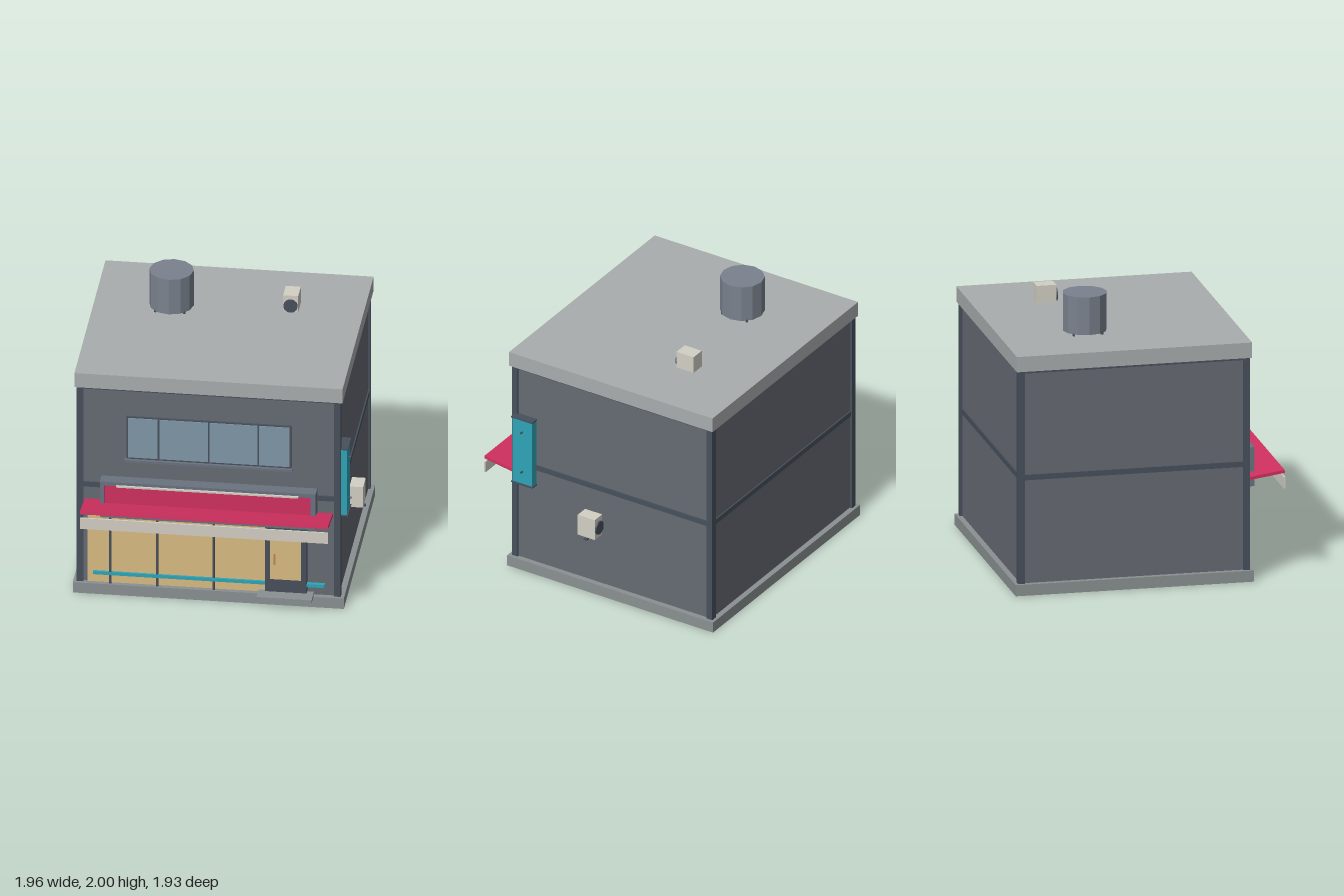
import * as THREE from 'three';

const COLORS = {
  wall: 0x666a73, trim: 0x47505c, base: 0x8a9092, roof: 0xa9adae, cream: 0xd3cfc5, red: 0xd0305f,
  glass: 0x8097a8, amber: 0xd9bb83, teal: 0x2fa5b8, tank: 0x7b828e, signFrame: 0x6a7380, brass: 0xb98a4a,
};
const mats = {};
for (const [key, color] of Object.entries(COLORS)) {
  mats[key] = new THREE.MeshStandardMaterial({ color, flatShading: true });
}

export function createModel() {
  const model = new THREE.Group();
  model.name = 'shopBuilding';

  // Box given by its extents on each axis
  const box = (name, mat, [x0, x1], [y0, y1], [z0, z1], parent = model) => {
    const mesh = new THREE.Mesh(new THREE.BoxGeometry(x1 - x0, y1 - y0, z1 - z0), mats[mat]);
    mesh.position.set((x0 + x1) / 2, (y0 + y1) / 2, (z0 + z1) / 2);
    mesh.name = name;
    parent.add(mesh);
    return mesh;
  };
  // Cylinder along the chosen axis
  const cyl = (name, mat, r, len, sides, pos, axis = 'y', parent = model) => {
    const geo = new THREE.CylinderGeometry(r, r, len, sides);
    if (axis === 'z') geo.rotateX(Math.PI / 2);
    if (axis === 'x') geo.rotateZ(Math.PI / 2);
    const mesh = new THREE.Mesh(geo, mats[mat]);
    mesh.position.set(...pos);
    mesh.name = name;
    parent.add(mesh);
    return mesh;
  };
  const group = (name) => {
    const g = new THREE.Group();
    g.name = name;
    model.add(g);
    return g;
  };

  // Main shell
  box('base', 'base', [-0.98, 0.91], [0, 0.08], [-0.965, 0.725]);
  box('walls', 'wall', [-0.94, 0.87], [0.08, 1.605], [-0.925, 0.685]);
  box('roofSlab', 'roof', [-0.97, 0.9], [1.605, 1.715], [-0.955, 0.715]);

  // Corner posts and the bands between floors and under the roof
  for (const x of [-0.957, 0.837]) {
    for (const z of [-0.943, 0.655]) box('cornerPost', 'trim', [x, x + 0.048], [0.08, 1.605], [z, z + 0.047]);
  }
  for (const y of [[0.82, 0.858], [1.587, 1.605]]) {
    box('wallBand', 'trim', [-0.95, 0.88], y, [-0.935, 0.695]);
  }

  // Upper window
  const win = group('upperWindow');
  box('windowFrame', 'trim', [-0.61, 0.54], [1.06, 1.39], [0.68, 0.7], win);
  const bars = [-0.605, -0.385, -0.035, 0.31, 0.535];
  for (let i = 0; i < 4; i++) {
    box('windowPane', 'glass', [bars[i] + 0.006, bars[i + 1] - 0.006], [1.075, 1.382], [0.69, 0.706], win);
  }
  box('windowSill', 'signFrame', [-0.62, 0.548], [1.045, 1.062], [0.68, 0.722], win);

  // Shop front glazing
  const front = group('shopFront');
  box('shopGlass', 'amber', [-0.88, 0.36], [0.085, 0.66], [0.68, 0.7], front);
  for (const x of [-0.72, -0.395, 0]) {
    box('mullion', 'trim', [x - 0.008, x + 0.008], [0.08, 0.66], [0.69, 0.712], front);
  }
  box('guardRail', 'teal', [-0.84, 0.775], [0.148, 0.172], [0.685, 0.716], front);

  // Door and step
  const door = group('door');
  box('doorLeaf', 'trim', [0.36, 0.65], [0.08, 0.62], [0.68, 0.72], door);
  box('doorGlass', 'amber', [0.397, 0.61], [0.2, 0.58], [0.7, 0.726], door);
  box('doorHandle', 'brass', [0.422, 0.434], [0.318, 0.4], [0.72, 0.736], door);
  box('doorStep', 'base', [0.312, 0.697], [0.075, 0.1], [0.68, 0.815], door);

  // Framed sign board with a lamp strip
  const sign = group('signBoard');
  for (const y of [[0.63, 0.66], [0.88, 0.91]]) box('signRail', 'signFrame', [-0.785, 0.72], y, [0.685, 0.775], sign);
  for (const x of [[-0.785, -0.755], [0.685, 0.72]]) box('signSide', 'signFrame', x, [0.66, 0.88], [0.685, 0.775], sign);
  box('signPanel', 'red', [-0.755, 0.685], [0.66, 0.88], [0.685, 0.762], sign);
  box('lampStrip', 'cream', [-0.67, 0.6], [0.877, 0.889], [0.765, 0.79], sign);

  // Awning rising outward, with a hanging valance
  const awning = group('awning');
  const canopy = box('canopy', 'red', [-0.9, 0.83], [0.725, 0.747], [0.692, 0.964], awning);
  canopy.rotation.x = -0.145;
  box('valance', 'cream', [-0.9, 0.83], [0.632, 0.716], [0.955, 0.967], awning);

  // Blade sign on the side wall
  const blade = group('bladeSign');
  box('bladePanel', 'teal', [0.87, 0.925], [0.705, 1.22], [0.51, 0.67], blade);
  for (const y of [0.698, 1.218]) box('bladeCap', 'trim', [0.87, 0.934], [y, y + 0.01], [0.503, 0.677], blade);
  for (const y of [0.805, 1.122]) cyl('bladeBolt', 'trim', 0.007, 0.03, 8, [0.93, y, 0.59], 'x', blade);

  // Cooling unit on the side wall
  const cooler = group('wallCooler');
  box('coolerBody', 'cream', [0.865, 0.965], [0.472, 0.632], [-0.03, 0.11], cooler);
  cyl('coolerFan', 'trim', 0.05, 0.014, 12, [0.915, 0.55, -0.035], 'z', cooler);
  box('coolerBracket', 'trim', [0.865, 0.975], [0.453, 0.463], [0.03, 0.055], cooler);
  box('coolerMount', 'trim', [0.865, 0.885], [0.453, 0.475], [0.03, 0.055], cooler);

  // Roof tank on short legs
  const tank = group('roofTank');
  cyl('tankBody', 'tank', 0.155, 0.27, 12, [-0.43, 1.865, -0.35], 'y', tank);
  for (const dx of [-0.1, 0.1]) {
    for (const dz of [-0.1, 0.1]) cyl('tankLeg', 'trim', 0.01, 0.03, 6, [-0.43 + dx, 1.723, -0.35 + dz], 'y', tank);
  }

  // Roof vent unit
  const vent = group('roofVent');
  box('ventBody', 'cream', [0.345, 0.45], [1.71, 1.84], [-0.512, -0.372], vent);
  cyl('ventFan', 'trim', 0.05, 0.014, 12, [0.397, 1.762, -0.367], 'z', vent);

  return model;
}
